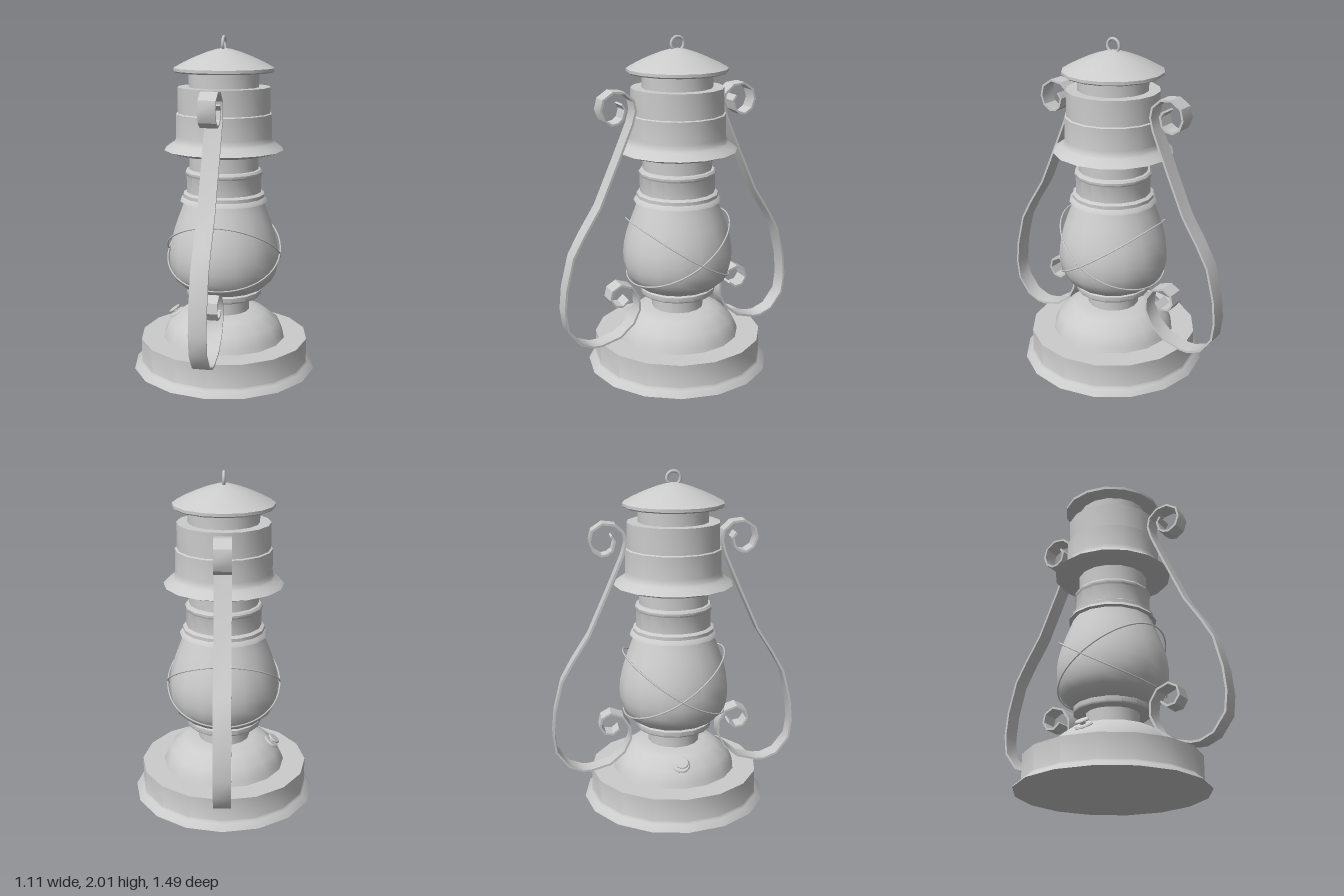
import * as THREE from 'three';
import { toCreasedNormals } from 'three/addons/utils/BufferGeometryUtils.js';

const SIDES = 16;
const material = new THREE.MeshStandardMaterial({ color: 0xcccccc });

function addMesh(parent, name, geometry) {
  const mesh = new THREE.Mesh(geometry, material);
  mesh.name = name;
  parent.add(mesh);
  return mesh;
}

// Turned part from [radius, height] pairs listed bottom to top
function turned(parent, name, profile, crease = 0.6) {
  const points = profile.map(([r, y]) => new THREE.Vector2(r, y));
  const lathe = new THREE.LatheGeometry(points, SIDES);
  return addMesh(parent, name, toCreasedNormals(lathe, crease));
}

// Flat strip that follows a [z, y] path, extruded across x
function ribbon(path, thickness, width) {
  const pts = path.map(([z, y]) => new THREE.Vector2(z, y));
  const left = [], right = [];
  pts.forEach((p, i) => {
    const before = pts[Math.max(i - 1, 0)], after = pts[Math.min(i + 1, pts.length - 1)];
    const t = after.clone().sub(before).normalize();
    const n = new THREE.Vector2(-t.y, t.x).multiplyScalar(thickness / 2);
    left.push(p.clone().add(n));
    right.unshift(p.clone().sub(n));
  });
  const geometry = new THREE.ExtrudeGeometry(new THREE.Shape([...left, ...right]), { depth: width, bevelEnabled: false });
  geometry.translate(0, 0, -width / 2).rotateY(-Math.PI / 2);
  return toCreasedNormals(geometry, 0.6);
}

export function createModel() {
  const lantern = new THREE.Group();
  lantern.name = 'lantern';

  // Base and fuel tank
  turned(lantern, 'base', [[0, 0], [0.557, 0], [0.553, 0.008], [0.52, 0.03], [0.511, 0.045], [0.511, 0.187], [0, 0.187]]);
  turned(lantern, 'fuelTank', [[0.375, 0.185], [0.365, 0.215], [0.335, 0.28], [0.255, 0.34], [0.19, 0.357], [0, 0.36]]);
  turned(lantern, 'burnerNeck', [[0.157, 0.35], [0.157, 0.46]]);
  turned(lantern, 'globeSeat', [[0, 0.45], [0.225, 0.45], [0.23, 0.458], [0.23, 0.485], [0.215, 0.492], [0, 0.492]]);

  // Glass globe
  turned(lantern, 'globe', [
    [0.2, 0.485], [0.245, 0.505], [0.292, 0.545], [0.318, 0.595], [0.33, 0.65], [0.332, 0.71],
    [0.325, 0.77], [0.31, 0.835], [0.285, 0.91], [0.258, 0.98], [0.238, 1.035],
  ], 0.9);

  // Chimney above the globe
  turned(lantern, 'globeCollar', [[0.22, 1.03], [0.265, 1.035], [0.257, 1.05], [0.245, 1.06], [0.245, 1.08], [0.225, 1.092], [0.2, 1.092]]);
  turned(lantern, 'lowerChimney', [[0.225, 1.08], [0.225, 1.19], [0.231, 1.2], [0.231, 1.213], [0.222, 1.225], [0.207, 1.228], [0.207, 1.34]]);
  turned(lantern, 'hood', [
    [0.2, 1.325], [0.3, 1.325], [0.355, 1.345], [0.335, 1.362], [0.3, 1.385], [0.29, 1.4], [0.285, 1.425],
    [0.285, 1.555], [0.274, 1.56], [0.274, 1.71], [0.2, 1.71],
  ]);
  turned(lantern, 'upperChimney', [[0.208, 1.7], [0.208, 1.8]]);
  turned(lantern, 'cap', [
    [0, 1.795], [0.285, 1.795], [0.297, 1.803], [0.297, 1.82], [0.24, 1.851],
    [0.17, 1.883], [0.1, 1.91], [0.04, 1.928], [0, 1.933],
  ]);

  // Hanging ring on the cap
  const ring = addMesh(lantern, 'hangingRing', new THREE.TorusGeometry(0.04, 0.009, 8, 16));
  ring.rotation.y = Math.PI / 2;
  ring.position.y = 1.957;

  // Scrolled straps, one in front and one behind
  const strapPath = [
    [0.367, 1.64], [0.345, 1.61], [0.36, 1.555], [0.39, 1.532], [0.425, 1.526], [0.47, 1.555], [0.49, 1.61],
    [0.475, 1.67], [0.415, 1.71], [0.345, 1.702], [0.293, 1.655], [0.282, 1.595], [0.302, 1.52],
    [0.388, 1.32], [0.508, 1.05], [0.61, 0.89], [0.677, 0.77], [0.725, 0.58], [0.739, 0.44], [0.725, 0.325],
    [0.65, 0.225], [0.57, 0.193], [0.518, 0.193], [0.4, 0.225], [0.312, 0.3], [0.272, 0.385], [0.276, 0.465],
    [0.318, 0.53], [0.39, 0.556], [0.444, 0.526], [0.456, 0.473], [0.428, 0.43], [0.38, 0.422], [0.34, 0.455],
  ];
  const strap = ribbon(strapPath, 0.013, 0.1);
  addMesh(lantern, 'frontStrap', strap);
  addMesh(lantern, 'backStrap', strap).rotation.y = Math.PI;

  // Two tilted guard wires crossing at the sides of the globe
  for (const side of [1, -1]) {
    const points = Array.from({ length: 24 }, (_, i) => {
      const a = (i / 24) * Math.PI * 2, c = Math.cos(a);
      return new THREE.Vector3(0.343 * Math.sin(a), 0.717 + 0.19 * c + 0.025 * c * c, 0.306 * c * side);
    });
    const curve = new THREE.CatmullRomCurve3(points, true);
    addMesh(lantern, side > 0 ? 'guardWireA' : 'guardWireB', new THREE.TubeGeometry(curve, 48, 0.005, 6, true));
  }

  // Filler cap tilted on the tank
  const filler = new THREE.Group();
  filler.name = 'fillerCap';
  turned(filler, 'fillerFlange', [[0.05, -0.05], [0.052, 0], [0.045, 0.008], [0, 0.008]]);
  turned(filler, 'fillerStem', [[0.016, 0], [0.016, 0.03]]);
  turned(filler, 'fillerKnob', [[0, 0.023], [0.038, 0.023], [0.04, 0.028], [0.036, 0.034], [0, 0.036]]);
  filler.position.set(-0.298, 0.305, 0);
  filler.rotation.z = 0.64;
  lantern.add(filler);

  // Open tubes and shells show from both sides
  material.side = THREE.DoubleSide;
  return lantern;
}
